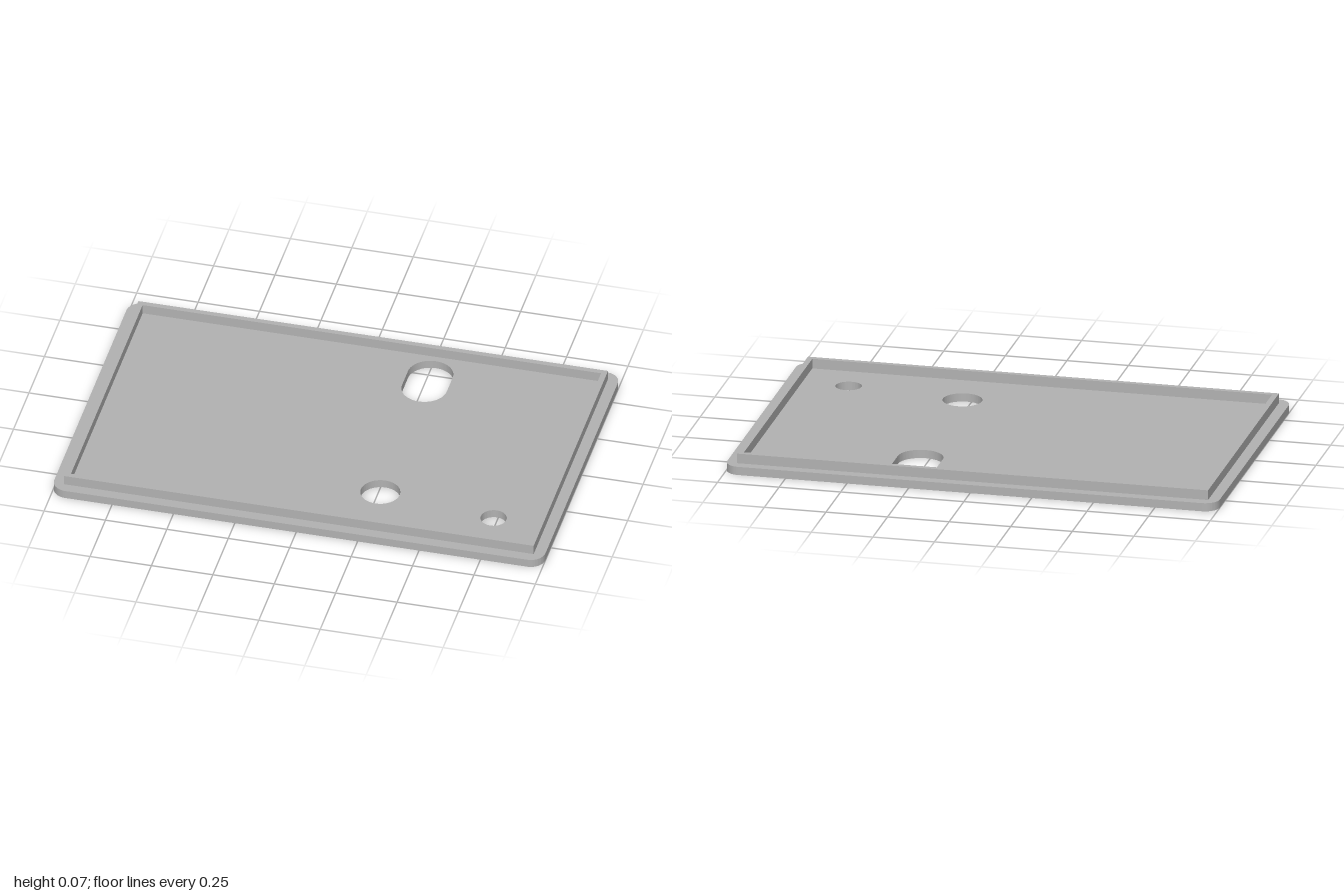
import * as THREE from 'three';
import { toCreasedNormals } from 'three/addons/utils/BufferGeometryUtils.js';

const PLATE_HEIGHT = 0.034;
const RIM_HEIGHT = 0.04;

// Rectangle outline centred on the origin, with optional rounded corners
function rectangle(path, halfX, halfZ, r = 0) {
  if (r === 0) {
    path.moveTo(-halfX, -halfZ).lineTo(halfX, -halfZ).lineTo(halfX, halfZ).lineTo(-halfX, halfZ);
  } else {
    path.absarc(halfX - r, -halfZ + r, r, -Math.PI / 2, 0);
    path.absarc(halfX - r, halfZ - r, r, 0, Math.PI / 2);
    path.absarc(-halfX + r, halfZ - r, r, Math.PI / 2, Math.PI);
    path.absarc(-halfX + r, -halfZ + r, r, Math.PI, Math.PI * 1.5);
  }
  path.closePath();
  return path;
}

// Round hole, or a slot along z when its two end centres differ
function hole(x, zBack, zFront, r) {
  const path = new THREE.Path();
  path.absarc(x, -zBack, r, 0, Math.PI);
  path.absarc(x, -zFront, r, Math.PI, Math.PI * 2);
  path.closePath();
  return path;
}

// Extrude a plan outline upwards from height y
function slab(name, shape, height, y, material) {
  const extruded = new THREE.ExtrudeGeometry(shape, { depth: height, bevelEnabled: false, curveSegments: 20 });
  extruded.rotateX(-Math.PI / 2);
  const mesh = new THREE.Mesh(toCreasedNormals(extruded, Math.PI / 6), material);
  mesh.name = name;
  mesh.position.y = y;
  return mesh;
}

export function createModel() {
  const model = new THREE.Group();
  model.name = 'enclosureLid';
  const grey = new THREE.MeshStandardMaterial({ color: 0xb2b2b2 });
  grey.name = 'grey';

  // Cover plate with rounded corners, a slot and two round holes
  const plate = rectangle(new THREE.Shape(), 1, 0.645, 0.06);
  plate.holes.push(
    hole(0.268, -0.461, -0.366, 0.091),
    hole(0.268, 0.348, 0.348, 0.079),
    hole(0.744, 0.407, 0.407, 0.052),
  );
  model.add(slab('coverPlate', plate, PLATE_HEIGHT, 0, grey));

  // Thin square-cornered locating rim
  const rim = rectangle(new THREE.Shape(), 0.956, 0.602);
  rim.holes.push(rectangle(new THREE.Path(), 0.933, 0.58));
  model.add(slab('locatingRim', rim, RIM_HEIGHT, PLATE_HEIGHT, grey));

  return model;
}
